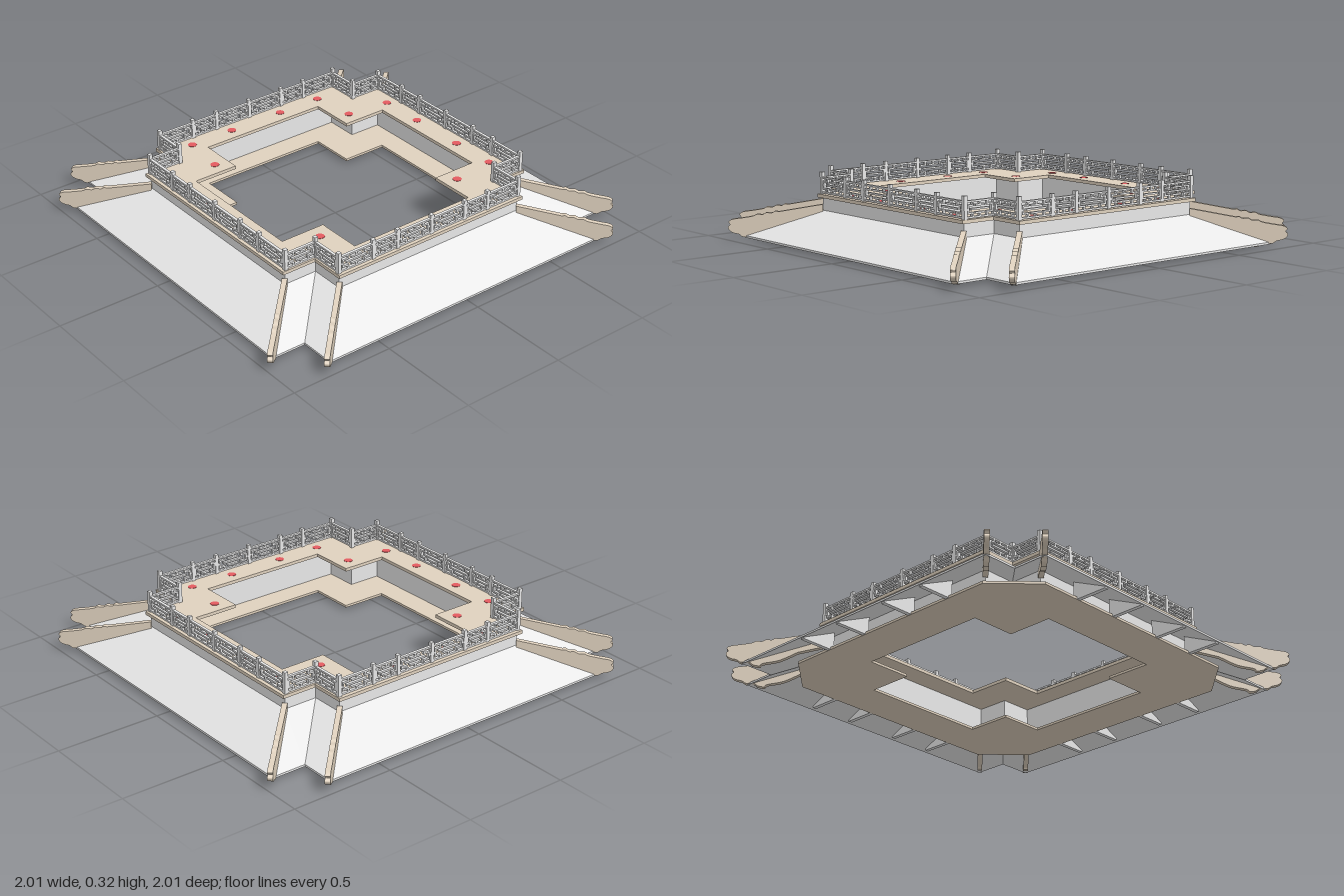
import * as THREE from 'three';
import { mergeGeometries } from 'three/addons/utils/BufferGeometryUtils.js';

const mat = (name, color) => {
  const m = new THREE.MeshStandardMaterial({ color });
  m.name = name;
  return m;
};

// Corners of a cross-shaped plan: arms reach a, arm half-width b
const cross = (a, b) => [
  [a, -b], [a, b], [b, b], [b, a], [-b, a], [-b, b],
  [-a, b], [-a, -b], [-b, -b], [-b, -a], [b, -a], [b, -b],
];
const toVec = (pts) => pts.map(([x, y]) => new THREE.Vector2(x, y));

// Flat slab with a hole, lying between heights y0 and y1
function slab(outer, hole, y0, y1) {
  const s = new THREE.Shape(toVec(outer));
  s.holes.push(new THREE.Path(toVec(hole)));
  const g = new THREE.ExtrudeGeometry(s, { depth: y1 - y0, bevelEnabled: false });
  return g.rotateX(-Math.PI / 2).translate(0, y0, 0);
}

// Faceted skin over a list of { pts, y } loops
function loft(loops) {
  const pos = [], n = loops[0].pts.length;
  const at = (k, i) => {
    const l = loops[k], p = l.pts[i % n];
    return [p[0], l.y, p[1]];
  };
  for (let k = 0; k < loops.length - 1; k++) {
    for (let i = 0; i < n; i++) {
      pos.push(...at(k, i), ...at(k, i + 1), ...at(k + 1, i));
      pos.push(...at(k, i + 1), ...at(k + 1, i + 1), ...at(k + 1, i));
    }
  }
  const g = new THREE.BufferGeometry();
  g.setAttribute('position', new THREE.Float32BufferAttribute(pos, 3));
  g.computeVertexNormals();
  return g;
}

// Fretwork bars of one railing bay: u0, v0, u1, v1 within the bay
const FRET = [
  [0, 0, 1, 0], [0, 1, 1, 1], [0.5, 0.74, 0.5, 1], [0.5, 0, 0.5, 0.26],
  [0.36, 0.74, 0.64, 0.74], [0.36, 0.26, 0.64, 0.26], [0.22, 0.5, 0.78, 0.5],
  [0.1, 0.26, 0.1, 0.74], [0.9, 0.26, 0.9, 0.74],
  [0.1, 0.74, 0.25, 0.74], [0.1, 0.26, 0.25, 0.26],
  [0.75, 0.74, 0.9, 0.74], [0.75, 0.26, 0.9, 0.26],
  [0.25, 0.74, 0.25, 1], [0.75, 0, 0.75, 0.26],
  [0.25, 0, 0.25, 0.26], [0.75, 0.74, 0.75, 1],
  [0, 0.5, 0.1, 0.5], [0.9, 0.5, 1, 0.5],
];
function bay(x0, x1, z) {
  const t = 0.008, y0 = 0.23, h = 0.069, w = x1 - x0;
  return FRET.map(([u0, v0, u1, v1]) =>
    new THREE.BoxGeometry((u1 - u0) * w + t, (v1 - v0) * h + t, 0.014)
      .translate(x0 + ((u0 + u1) / 2) * w, y0 + ((v0 + v1) / 2) * h, z));
}
const post = (x, z, top) =>
  new THREE.BoxGeometry(0.018, top - 0.222, 0.018).translate(x, (top + 0.222) / 2, z);

export function createModel() {
  const model = new THREE.Group();
  model.name = 'galleryTier';
  const grey = mat('paleGrey', 0xe8e8e8);
  const beige = mat('beigeTimber', 0xdfd1be);
  const red = mat('columnRed', 0xe35a5f);
  const add = (name, geo, m) => {
    const mesh = new THREE.Mesh(geo, m);
    mesh.name = name;
    model.add(mesh);
    return mesh;
  };

  // Deck, wall beneath it and floor at eave level, all open in the middle
  const opening = cross(0.555, 0.33);
  add('deck', slab(cross(0.7, 0.53), opening, 0.207, 0.223), beige);
  add('wall', slab(cross(0.68, 0.515), cross(0.67, 0.505), 0.02, 0.208), grey);
  const o = 0.77, c = 0.585;
  const octagon = [[o, -c], [o, c], [c, o], [-c, o], [-o, c], [-o, -c], [-c, -o], [c, -o]];
  add('lowerFloor', slab(octagon, opening, 0.013, 0.025), beige);

  // Skirt roof with hips and valleys
  const inner = cross(0.68, 0.515), eave = cross(0.943, 0.773);
  add('skirtRoof', loft([
    { pts: inner, y: 0.146 }, { pts: eave, y: 0.024 },
    { pts: eave, y: 0.014 }, { pts: inner, y: 0.136 },
  ]), grey);

  // Hip beams: straight back, bumpy crest, scrolled tip
  const beamShape = new THREE.Shape();
  beamShape.moveTo(0, 0.1);
  beamShape.lineTo(0, 0.175);
  beamShape.lineTo(0.21, 0.138);
  beamShape.splineThru(toVec([
    [0.225, 0.14], [0.24, 0.132], [0.265, 0.133], [0.285, 0.124], [0.31, 0.125],
    [0.33, 0.116], [0.38, 0.107], [0.425, 0.1], [0.443, 0.088], [0.436, 0.075],
    [0.446, 0.062], [0.438, 0.046], [0.42, 0.036], [0.395, 0.03], [0.375, 0.018],
    [0.34, 0.02], [0.32, 0.006], [0.29, 0.001], [0.275, 0.013], [0.2, 0.03],
    [0.12, 0.07],
  ]));
  beamShape.lineTo(0, 0.1);
  const beamGeo = new THREE.ExtrudeGeometry(beamShape, {
    depth: 0.024, bevelEnabled: false, curveSegments: 40,
  }).translate(0, 0, -0.012);
  for (const sx of [-1, 1]) for (const sz of [-1, 1]) {
    for (const [x, z] of [[0.513, 0.68], [0.68, 0.513]]) {
      const beam = add('hipBeam', beamGeo, beige);
      beam.position.set(sx * x, 0, sz * z);
      beam.rotation.y = -Math.atan2(sz, sx);
    }
  }

  // One side of railing
  const stops = [-0.517, -0.33, -0.193, 0, 0.193, 0.33, 0.517];
  const parts = stops.map((x) => post(x, 0.679, Math.abs(x) > 0.5 ? 0.325 : 0.32));
  for (let i = 0; i < 6; i++) parts.push(...bay(stops[i], stops[i + 1], 0.679));
  parts.push(post(0.517, 0.517, 0.325));
  parts.push(...bay(0.517, 0.679, 0.517), ...bay(-0.679, -0.517, 0.517));
  const railGeo = mergeGeometries(parts);

  // Upright wedge brackets filling the space under the eaves
  const wedge = new THREE.Shape(toVec([[0.75, 0.015], [0.925, 0.015], [0.925, 0.022], [0.75, 0.103]]));
  const wedgeGeo = mergeGeometries([-0.375, -0.145, 0.145, 0.375].map((x) =>
    new THREE.ExtrudeGeometry(wedge, { depth: 0.02, bevelEnabled: false })
      .translate(0, 0, -0.01).rotateY(-Math.PI / 2).translate(x, 0, 0)));

  // Round column marks, flush on the deck
  const markGeo = mergeGeometries(
    [[-0.375, 0.62], [-0.145, 0.62], [0.145, 0.62], [0.375, 0.62], [0.4, 0.4]].map(([x, z]) =>
      new THREE.CylinderGeometry(0.021, 0.021, 0.004, 20).translate(x, 0.2225, z)));

  for (let q = 0; q < 4; q++) {
    const turn = (q * Math.PI) / 2;
    add('railing', railGeo, grey).rotation.y = turn;
    add('eaveBrackets', wedgeGeo, grey).rotation.y = turn;
    add('columnMarks', markGeo, red).rotation.y = turn;
  }
  return model;
}
